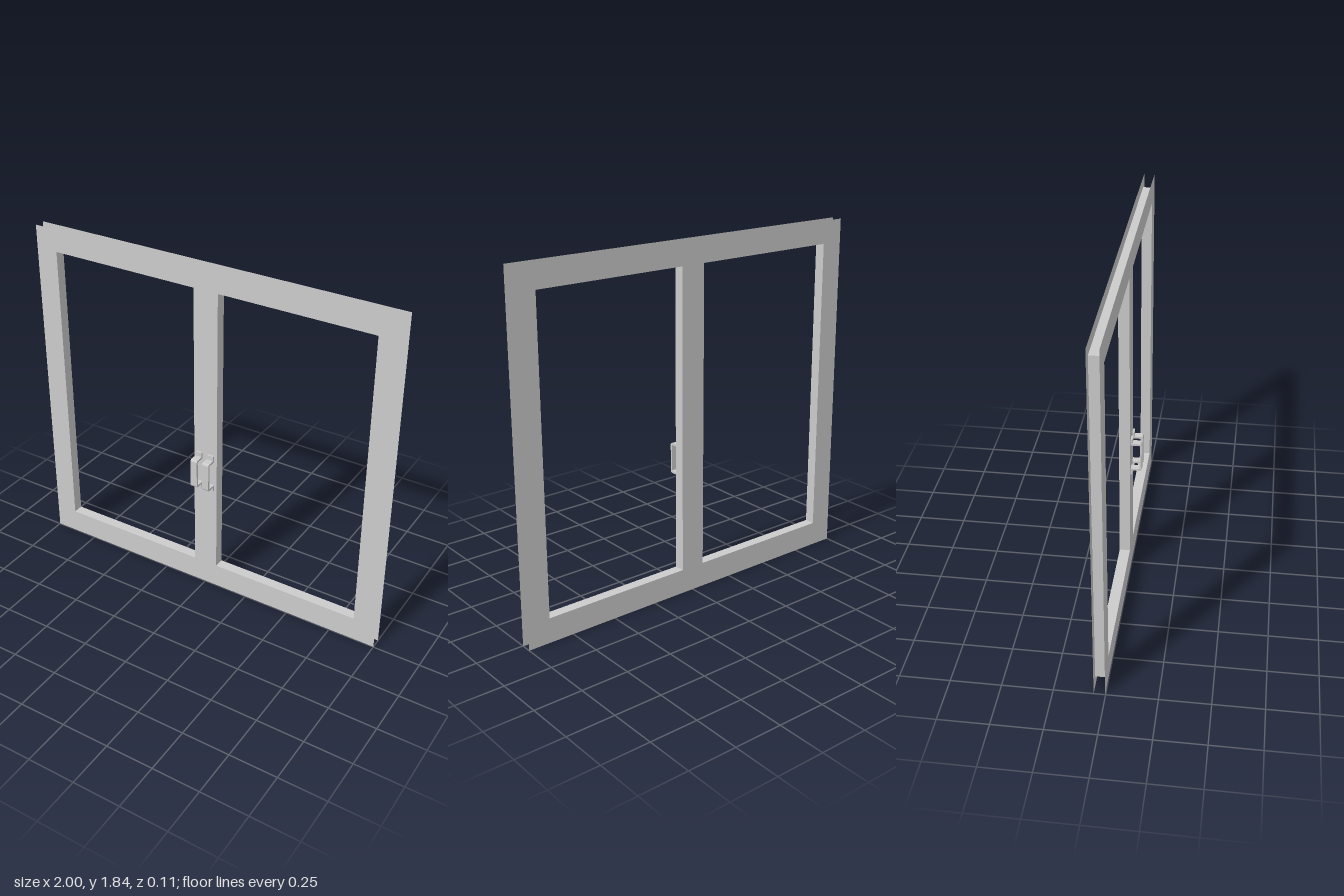
import * as THREE from 'three';

const FRONT = -0.002, BACK = -0.057, DEPTH = FRONT - BACK;
const material = new THREE.MeshStandardMaterial({ color: 0xcccccc, side: THREE.DoubleSide, flatShading: true });

// Rectangles as [x0, x1, y0, y1]
const OUTER = [-1, 1, 0, 1.84];
const CORE = [-0.945, 0.945, 0.058, 1.783];
const OPENINGS = [[-0.88, -0.067, 0.131, 1.72], [0.067, 0.88, 0.131, 1.72]];

function add(parent, name, geometry, x = 0, y = 0, z = 0) {
  const mesh = new THREE.Mesh(geometry, material);
  mesh.name = name;
  mesh.position.set(x, y, z);
  parent.add(mesh);
  return mesh;
}

function rectPoints([x0, x1, y0, y1]) {
  return [[x0, y0], [x1, y0], [x1, y1], [x0, y1]].map(p => new THREE.Vector2(...p));
}

// Four thin walls running from the front sheet to the back sheet
function addWalls(parent, name, [x0, x1, y0, y1]) {
  const group = new THREE.Group();
  group.name = name;
  const cx = (x0 + x1) / 2, cy = (y0 + y1) / 2, cz = (FRONT + BACK) / 2;
  for (const x of [x0, x1])
    add(group, 'sideWall', new THREE.PlaneGeometry(DEPTH, y1 - y0).rotateY(Math.PI / 2), x, cy, cz);
  for (const y of [y0, y1])
    add(group, 'levelWall', new THREE.PlaneGeometry(x1 - x0, DEPTH).rotateX(-Math.PI / 2), cx, y, cz);
  parent.add(group);
}

// Pull handle: bent strap with two flat feet, profile in (z, y)
function handleGeometry(width) {
  const half = [
    [0, 0.106], [0.01, 0.106], [0.01, 0.081], [0.047, 0.081], [0.054, 0.078], [0.057, 0.071],
  ];
  const inner = [[0.047, 0.067], [0.044, 0.07], [0, 0.07]];
  const flip = pts => pts.map(([z, y]) => [z, -y]).reverse();
  const profile = [...half, ...flip(half), ...flip(inner), ...inner];
  const start = FRONT;
  const shape = new THREE.Shape(profile.map(([z, y]) => new THREE.Vector2(Math.max(z, start), y)));
  return new THREE.ExtrudeGeometry(shape, { depth: width, bevelEnabled: false })
    .translate(0, 0, -width / 2)
    .rotateY(-Math.PI / 2);
}

export function createModel() {
  const model = new THREE.Group();
  model.name = 'doubleWindow';

  // Front and back frame sheets with two openings
  const sheet = new THREE.Shape(rectPoints(OUTER));
  sheet.holes = OPENINGS.map(r => new THREE.Path(rectPoints(r).reverse()));
  add(model, 'frontSheet', new THREE.ShapeGeometry(sheet), 0, 0, FRONT);
  add(model, 'backSheet', new THREE.ShapeGeometry(sheet).rotateY(Math.PI), 0, 0, BACK);

  // Recessed outer edge and the linings of the openings
  addWalls(model, 'recessedEdge', CORE);
  OPENINGS.forEach((r, i) => addWalls(model, i ? 'leftOpeningLining' : 'rightOpeningLining', r));

  // A handle on each side of the centre line
  for (const side of [-1, 1])
    add(model, side < 0 ? 'rightHandle' : 'leftHandle', handleGeometry(0.037), side * 0.0345, 0.718, 0);

  return model;
}
